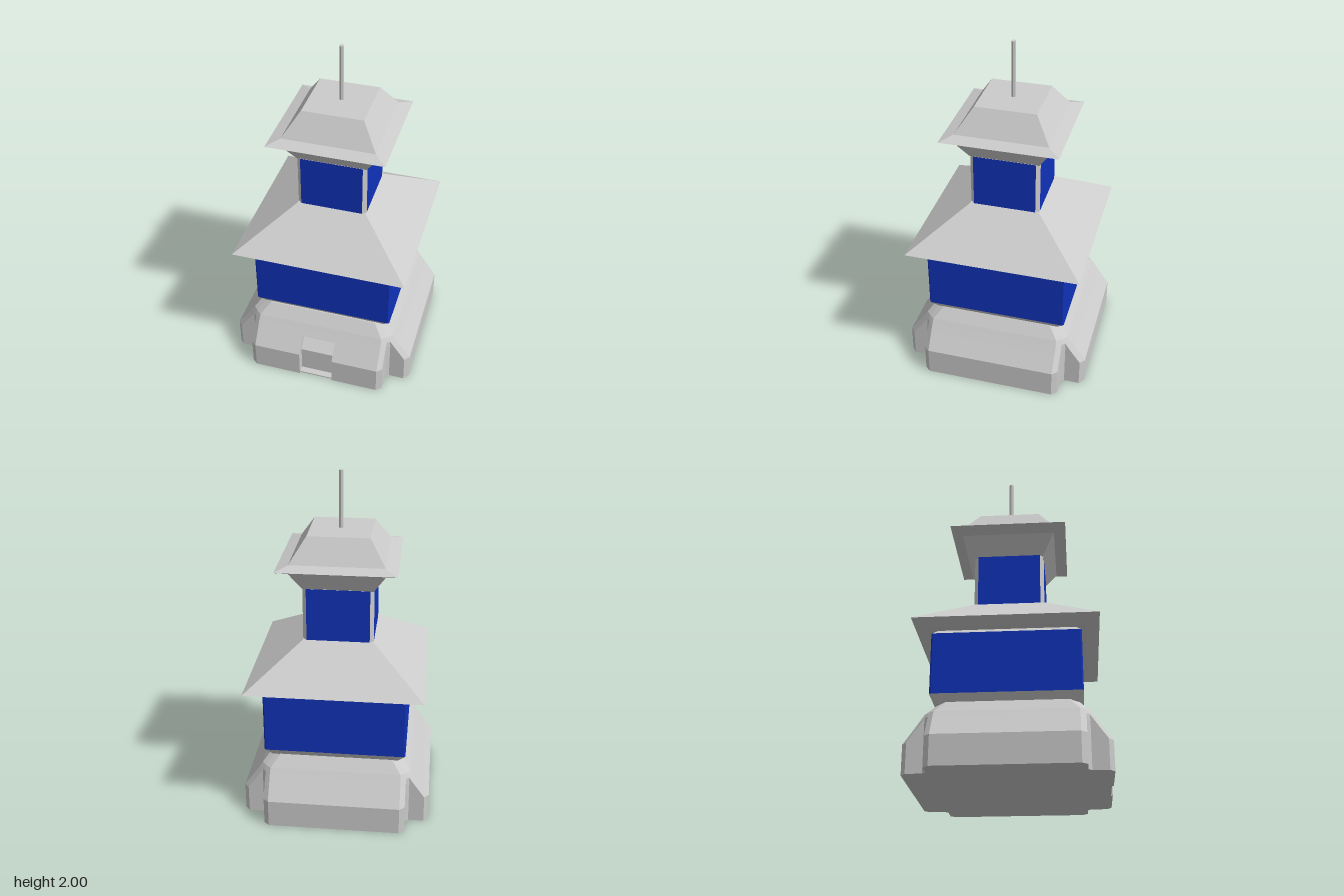
import * as THREE from 'three';

const grey = new THREE.MeshStandardMaterial({ color: 0xcccccc, flatShading: true });
const blue = new THREE.MeshStandardMaterial({ color: 0x1033bb, flatShading: true });

// Flat-sided loft through rings { y, pts: [x, z][] }, with optional caps and a filter on sides
function loft(rings, { bottom = true, top = true, keep = () => true } = {}) {
  const pos = [];
  const put = (ring, i) => pos.push(ring.pts[i][0], ring.y, ring.pts[i][1]);
  const n = rings[0].pts.length;
  for (let r = 0; r + 1 < rings.length; r++) {
    const a = rings[r], b = rings[r + 1];
    for (let i = 0; i < n; i++) {
      const j = (i + 1) % n;
      if (!keep(i)) continue;
      put(a, i); put(a, j); put(b, j);
      put(a, i); put(b, j); put(b, i);
    }
  }
  const cap = (ring, up) => {
    // Drop doubled corners before triangulating
    const pts = ring.pts.filter((p, i) => {
      const q = ring.pts[(i + 1) % n];
      return Math.hypot(p[0] - q[0], p[1] - q[1]) > 1e-5;
    });
    const flat = pts.map(([x, z]) => new THREE.Vector2(x, -z));
    for (const [a, b, c] of THREE.ShapeUtils.triangulateShape(flat, [])) {
      for (const i of up ? [a, b, c] : [a, c, b]) pos.push(pts[i][0], ring.y, pts[i][1]);
    }
  };
  if (bottom) cap(rings[0], false);
  if (top) cap(rings[rings.length - 1], true);
  const g = new THREE.BufferGeometry();
  g.setAttribute('position', new THREE.Float32BufferAttribute(pos, 3));
  g.computeVertexNormals();
  return g;
}

// Square ring with cut corners
function square(y, h, cut = 0) {
  const pts = [];
  let side = [[cut - h, h], [h - cut, h]];
  for (let k = 0; k < 4; k++) {
    pts.push(...side);
    side = side.map(([x, z]) => [z, -x]);
  }
  return { y, pts };
}

// Base ring: four bevelled slabs with notched corners, and a doorway in the front slab
function baseRing(y, h, doorZ = h) {
  const pts = [];
  const b = Math.min(0.412, h - 0.026), a = b - 0.03, c = Math.min(0.432, h - 0.026);
  for (let k = 0; k < 4; k++) {
    const d = k === 0 ? doorZ : h;
    let side = [[-b, c], [-b, h - 0.026], [-a, h],
      [-0.1, h], [-0.1, d], [0.105, d], [0.105, h],
      [a, h], [b, h - 0.026], [b, c]];
    for (let t = 0; t < k; t++) side = side.map(([x, z]) => [z, -x]);
    pts.push(...side);
  }
  return { y, pts };
}

export function createModel() {
  const model = new THREE.Group();
  model.name = 'tower';
  const add = (parent, name, geometry, material = grey) => {
    const mesh = new THREE.Mesh(geometry, material);
    mesh.name = name;
    parent.add(mesh);
    return mesh;
  };

  // Sloping base with recessed doorway
  add(model, 'base', loft([
    baseRing(0, 0.548, 0.5),
    baseRing(0.165, 0.548, 0.5),
    baseRing(0.22, 0.509, 0.44),
    baseRing(0.26, 0.481),
    baseRing(0.298, 0.455),
    baseRing(0.327, 0.436),
    baseRing(0.395, 0.382),
  ]));
  add(model, 'doorSill', new THREE.BoxGeometry(0.205, 0.008, 0.06)).position.set(0.0025, 0.004, 0.508);

  // Everything above the base sits slightly off its centre
  const upper = new THREE.Group();
  upper.name = 'upperTower';
  upper.position.set(0.006, 0, -0.006);
  model.add(upper);

  // Lower storey
  add(upper, 'lowerCollar', loft([square(0.39, 0.375, 0.008), square(0.437, 0.41, 0.008)]));
  add(upper, 'lowerWindows', loft([square(0.437, 0.41, 0.008), square(0.787, 0.41, 0.008)]), blue);
  add(upper, 'lowerCornice', loft([square(0.787, 0.41, 0.008), square(0.812, 0.385, 0.008)]));
  add(upper, 'lowerRoof', loft([square(0.812, 0.44), square(0.84, 0.508), square(1.057, 0.203)]));

  // Upper storey: glazed sides between cut corner posts
  const storey = [square(1.05, 0.203, 0.022), square(1.37, 0.203, 0.022)];
  add(upper, 'upperWindows', loft(storey, { bottom: false, top: false, keep: i => i % 2 === 0 }), blue);
  add(upper, 'cornerPosts', loft(storey, { keep: i => i % 2 === 1 }));

  // Top roof: flared underside, thin eave and truncated cap
  add(upper, 'topRoof', loft([
    square(1.368, 0.2),
    square(1.48, 0.268),
    square(1.51, 0.336),
    square(1.532, 0.267),
    square(1.67, 0.176),
  ]));

  // Mast
  add(upper, 'mast', new THREE.CylinderGeometry(0.013, 0.013, 0.335, 8)).position.set(0.002, 1.8325, 0);

  return model;
}
